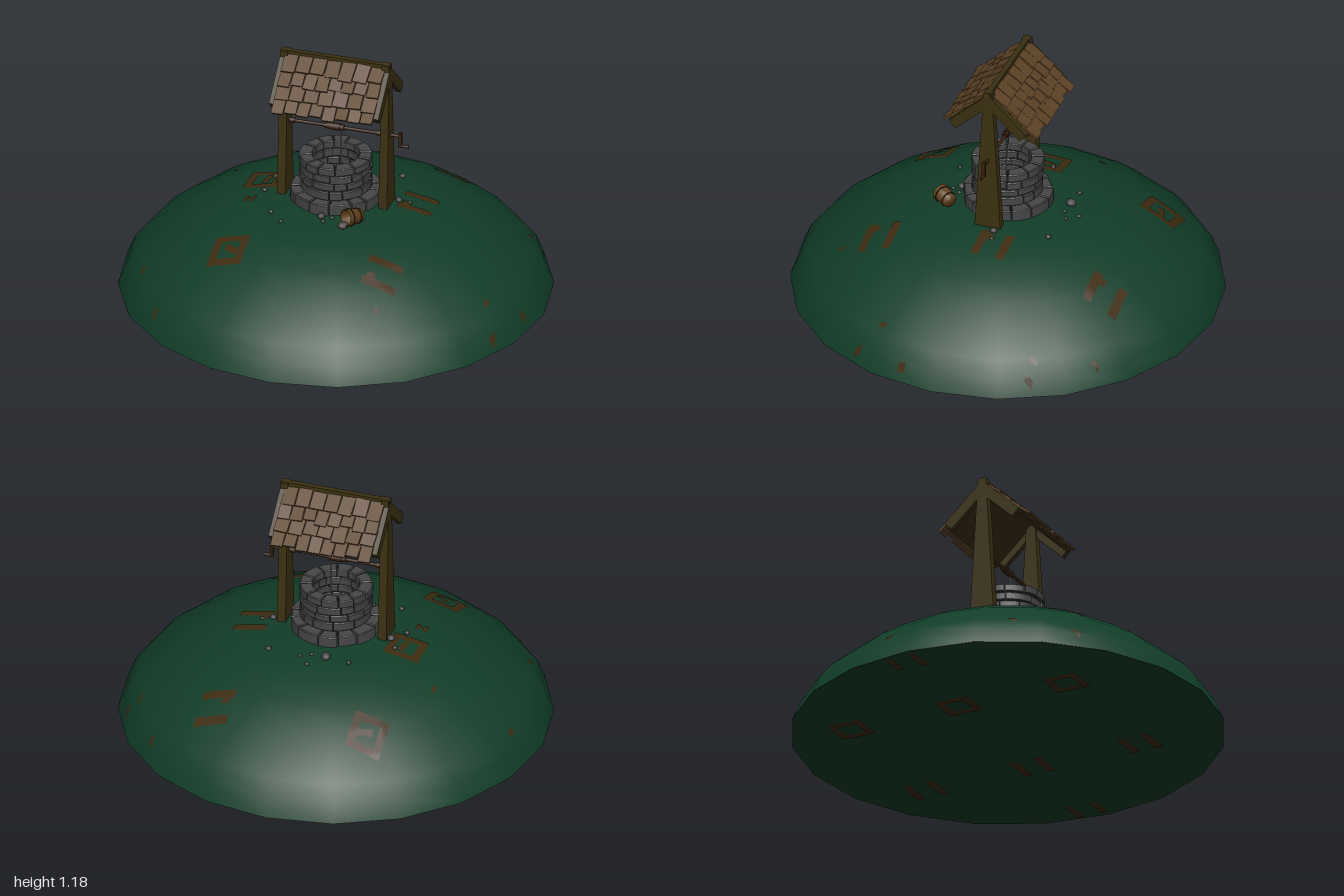
import * as THREE from 'three';

const mat = (name, color, side = THREE.FrontSide) =>
  Object.assign(new THREE.MeshStandardMaterial({ color, side }), { name });
const M = {
  grass: mat('grass green', 0x113d28),
  soil: mat('soil brown', 0x3d2b10, THREE.DoubleSide),
  wood: mat('post wood', 0x3b3011),
  shingle: mat('shingle brown', 0x5c4226),
  stone: mat('stone grey', 0x464648),
  mortar: mat('mortar dark', 0x202021, THREE.DoubleSide),
  axle: mat('axle brown', 0x38200f),
  rope: mat('rope grey', 0x77777a),
  bucket: mat('bucket brown', 0x5f411c),
};

let seed = 7;
const rand = (a, b) => {
  seed = (seed * 16807) % 2147483647;
  return a + (b - a) * (seed / 2147483647);
};

function add(parent, name, geo, material, x = 0, y = 0, z = 0) {
  const mesh = new THREE.Mesh(geo, material);
  mesh.name = name;
  mesh.position.set(x, y, z);
  parent.add(mesh);
  return mesh;
}
function group(parent, name) {
  const g = new THREE.Group();
  g.name = name;
  parent.add(g);
  return g;
}
const box = (w, h, d) => new THREE.BoxGeometry(w, h, d);
const rod = (r, h, n = 8, r2 = r) => new THREE.CylinderGeometry(r2, r, h, n);

// Hill: a 20-sided dome
const SIDES = 20;
const PROFILE = [[1, 0], [0.965, 0.085], [0.91, 0.155], [0.81, 0.24], [0.7, 0.315], [0.59, 0.375],
  [0.45, 0.425], [0.31, 0.452], [0.16, 0.463], [0, 0.465]];

// Height of the faceted dome at a ground position
function hillY(x, z) {
  const step = (2 * Math.PI) / SIDES;
  const a = Math.atan2(z, x) + 2 * Math.PI;
  const r = Math.hypot(x, z) * Math.cos((a % step) - step / 2) / Math.cos(step / 2);
  for (let i = 1; i < PROFILE.length; i++) {
    const [r0, y0] = PROFILE[i - 1], [r1, y1] = PROFILE[i];
    if (r >= r1) return Math.max(0, y0 + (y1 - y0) * (r0 - r) / (r0 - r1));
  }
  return 0.465;
}

// Bare soil patch lying on the dome, or flat on its underside
function patch(parent, x, z, w, d, turn = 0, below = false) {
  const geo = new THREE.PlaneGeometry(w, d, 6, 6).rotateX(below ? Math.PI / 2 : -Math.PI / 2)
    .rotateY(turn).translate(x, 0, z);
  if (!below) {
    const p = geo.attributes.position;
    for (let i = 0; i < p.count; i++) p.setY(i, hillY(p.getX(i), p.getZ(i)) + 0.004);
    geo.computeVertexNormals();
  }
  add(parent, 'soilPatch', geo, M.soil);
}

function buildHill(root) {
  const hill = group(root, 'hill');
  add(hill, 'dome', new THREE.LatheGeometry(PROFILE.map(p => new THREE.Vector2(...p)), SIDES), M.grass);
  add(hill, 'underside', new THREE.CircleGeometry(1, SIDES).rotateX(Math.PI / 2), M.grass, 0, 0.003);
  for (const below of [false, true]) {
    for (const z of [-0.62, -0.067, 0.487]) {
      // Square rings on one side, pairs of bars on the other
      for (const s of [-1, 1]) {
        patch(hill, -0.363, z + s * 0.065, 0.165, 0.036, 0, below);
        patch(hill, -0.363 + s * 0.064, z, 0.036, 0.1, 0, below);
        patch(hill, 0.375, z + s * 0.06, 0.16, 0.04, 0, below);
      }
      if (!below) {
        patch(hill, -0.35, z, 0.03, 0.075, z * 2);
        patch(hill, 0.33, z + 0.03, 0.04, 0.03);
      }
    }
  }
  for (const x of [-0.9, 0.9]) for (const s of [-1, 1]) patch(hill, x, s * 0.06 - 0.06, 0.13, 0.035, 0, true);
  // Small specks and a little mark beside the middle ring
  for (const [x, z] of [[0.88, 0.4], [0.95, 0.16], [0.8, -0.43], [0.86, -0.43], [0.66, -0.68],
    [-0.65, 0.69], [-0.56, -0.25], [-0.9, -0.15], [0.4, 0.66], [0.82, 0.3], [-0.79, 0.43]])
    patch(hill, x, z, 0.018, 0.035);
  for (const s of [-1, 1]) patch(hill, -0.375 + s * 0.018, 0.12, 0.016, 0.05);
  patch(hill, -0.375, 0.12, 0.03, 0.014);
}

// Curved stone block between two angles
function block(r0, r1, a0, a1, h) {
  const s = new THREE.Shape();
  s.absarc(0, 0, r1, a0, a1, false);
  s.absarc(0, 0, r0, a1, a0, true);
  const b = 0.004;
  return new THREE.ExtrudeGeometry(s, { depth: h - 2 * b, bevelThickness: b, bevelSize: b,
    bevelOffset: -b, bevelSegments: 1, curveSegments: 3 }).rotateX(-Math.PI / 2).translate(0, b, 0);
}

function buildWell(root) {
  const well = group(root, 'well');
  const courses = [[0.45, 0.515, 0.205, 13], [0.515, 0.562, 0.162, 11], [0.562, 0.6, 0.165, 12],
    [0.6, 0.642, 0.163, 11], [0.642, 0.684, 0.166, 12]];
  for (const [y0, y1, r, n] of courses) {
    const start = rand(0, 1);
    const cuts = Array.from({ length: n }, (_, i) => start + (i + rand(-0.2, 0.2)) * 2 * Math.PI / n);
    cuts.push(cuts[0] + 2 * Math.PI);
    for (let i = 0; i < n; i++)
      add(well, 'stoneBlock', block(0.108, r + rand(-0.005, 0.006), cuts[i] + 0.015, cuts[i + 1] - 0.015,
        y1 - y0 - rand(0.002, 0.006)), M.stone, 0, y0);
  }
  // Mortar fill and the dark shaft
  for (const r of [0.114, 0.152])
    add(well, 'mortar', new THREE.CylinderGeometry(r, r, 0.21, 24, 1, true), M.mortar, 0, 0.565);
  add(well, 'shaftBottom', new THREE.CircleGeometry(0.115, 24).rotateX(-Math.PI / 2), M.mortar, 0, 0.47);
}

function buildFrame(root) {
  const frame = group(root, 'frame');
  for (const s of [-1, 1]) {
    // Post, wide at the foot and narrow at the ridge
    const geo = box(0.042, 0.74, 0.128);
    const p = geo.attributes.position;
    for (let i = 0; i < p.count; i++) if (p.getY(i) > 0) p.setXYZ(i, p.getX(i) * 0.85, p.getY(i), p.getZ(i) * 0.32);
    geo.computeVertexNormals();
    add(frame, 'post', geo, M.wood, s * 0.244, 0.81);
    add(frame, 'axleCollar', rod(0.013, 0.025).rotateZ(Math.PI / 2), M.axle, s * 0.21, 0.815);
    add(frame, 'drumCollar', rod(0.014, 0.02).rotateZ(Math.PI / 2), M.axle, s * 0.035 - 0.005, 0.815);
  }
  add(frame, 'ridgeBeam', box(0.525, 0.022, 0.026), M.wood, 0, 1.17);

  // Winding axle with crank, drum and rope
  add(frame, 'axle', rod(0.008, 0.57).rotateZ(Math.PI / 2), M.axle, 0.025, 0.815);
  add(frame, 'drum', rod(0.017, 0.05).rotateZ(Math.PI / 2), M.axle, -0.005, 0.815);
  add(frame, 'crankArm', box(0.014, 0.075, 0.016), M.axle, 0.31, 0.796);
  add(frame, 'crankHandle', rod(0.007, 0.045).rotateZ(Math.PI / 2), M.axle, 0.327, 0.765);
  add(frame, 'rope', rod(0.004, 0.33, 6), M.rope, 0.023, 0.645);
}

function buildRoof(root) {
  for (const turn of [0, Math.PI]) {
    const side = group(root, 'roofSide');
    side.position.y = 1.155;
    side.rotation.y = turn;
    const slope = group(side, 'roofSlope');
    slope.rotation.x = 0.75;
    add(slope, 'roofBoards', box(0.48, 0.012, 0.26), M.wood, 0, 0, 0.13);
    for (const s of [-1, 1]) add(slope, 'rafter', box(0.026, 0.05, 0.25), M.wood, s * 0.25, -0.014, 0.125);
    // Overlapping rows of uneven shingles
    for (let row = 0; row < 4; row++) {
      const n = 7 + (row % 2), w = 0.484 / n;
      for (let i = 0; i < n; i++) {
        const len = 0.088 + rand(-0.008, 0.012);
        const tile = add(slope, 'shingle', box(w - 0.004, 0.011, len), M.shingle,
          -0.242 + (i + 0.5) * w, 0.016 + rand(-0.002, 0.003), row * 0.067 + len / 2);
        tile.rotation.set(-0.13 + rand(-0.04, 0.03), rand(-0.05, 0.05), rand(-0.06, 0.06));
      }
    }
  }
}

function buildLooseThings(root) {
  // Bucket lying on its side
  const bucket = group(root, 'bucket');
  bucket.position.set(0.16, 0.5, 0.245);
  bucket.rotation.set(Math.PI / 2 - 0.15, 0, 0.6);
  const pts = [[0, -0.04], [0.033, -0.04], [0.042, 0.042], [0.036, 0.042], [0.028, -0.03], [0, -0.03]];
  add(bucket, 'bucketStaves', new THREE.LatheGeometry(pts.map(p => new THREE.Vector2(...p)), 12), M.bucket);
  for (const [y, r] of [[-0.022, 0.036], [0.022, 0.041]])
    add(bucket, 'bucketHoop', new THREE.TorusGeometry(r, 0.003, 5, 14).rotateX(Math.PI / 2), M.axle, 0, y);

  // Pebbles around the well
  const pebbles = [[-0.05, -0.29, 0.025], [0.02, -0.285, 0.01], [0.02, -0.355, 0.011], [0.07, -0.31, 0.009],
    [0.23, -0.285, 0.015], [-0.16, -0.29, 0.011], [-0.32, -0.1, 0.012], [-0.28, -0.04, 0.019],
    [-0.33, 0.04, 0.012], [0.29, -0.04, 0.017], [0.34, -0.05, 0.01], [-0.24, 0.23, 0.012],
    [-0.17, 0.3, 0.01], [0, 0.225, 0.019], [0.12, 0.275, 0.024], [0.05, 0.22, 0.011], [0.02, 0.26, 0.01]];
  for (const [x, z, r] of pebbles) {
    const pebble = add(root, 'pebble', new THREE.IcosahedronGeometry(r, 1), M.stone, x, hillY(x, z) + r * 0.4, z);
    pebble.scale.set(1, 0.75, rand(0.8, 1.1));
    pebble.rotation.y = rand(0, 3);
  }
}

export function createModel() {
  const root = new THREE.Group();
  root.name = 'wellOnHill';
  buildHill(root);
  buildWell(root);
  buildFrame(root);
  buildRoof(root);
  buildLooseThings(root);
  return root;
}
